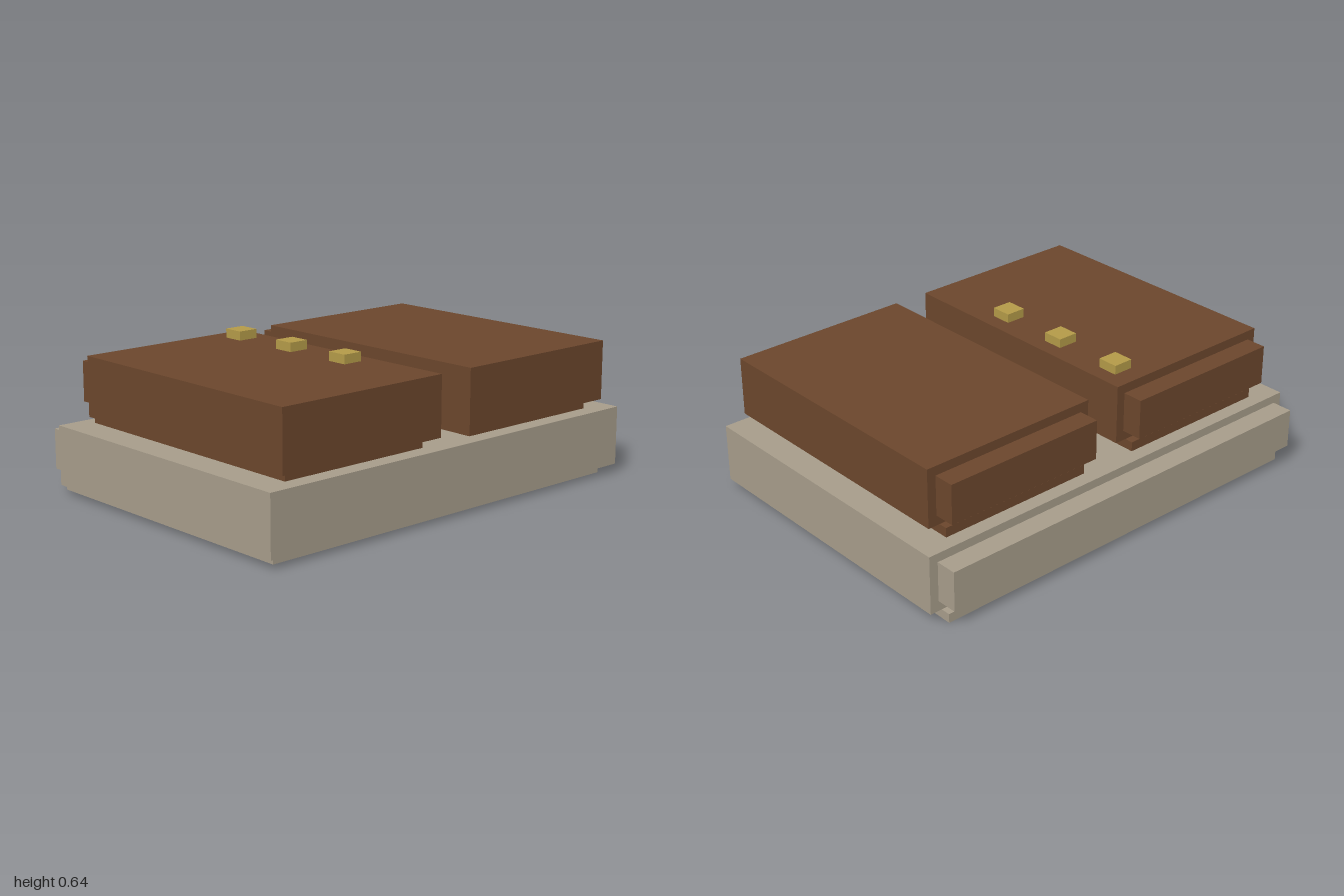
import * as THREE from 'three';

const stone = new THREE.MeshStandardMaterial({ color: 0xa69c8a });
stone.name = 'stone';
const wood = new THREE.MeshStandardMaterial({ color: 0x6b462c });
wood.name = 'brown wood';
const brass = new THREE.MeshStandardMaterial({ color: 0xb39a48 });
brass.name = 'brass';

// Box given by its extents on each axis
function block(name, material, [x0, x1], [y0, y1], [z0, z1]) {
  const mesh = new THREE.Mesh(new THREE.BoxGeometry(x1 - x0, y1 - y0, z1 - z0), material);
  mesh.name = name;
  mesh.position.set((x0 + x1) / 2, (y0 + y1) / 2, (z0 + z1) / 2);
  return mesh;
}

export function createModel() {
  const model = new THREE.Group();
  model.name = 'doubleHatch';

  // Base: recessed plinth, main slab and rear rail
  const base = new THREE.Group();
  base.name = 'base';
  base.add(
    block('plinth', stone, [-0.945, 0.945], [0, 0.04], [-0.68, 0.68]),
    block('slab', stone, [-1, 1], [0.04, 0.3], [-0.637, 0.732]),
    block('baseRearRail', stone, [-0.96, 0.96], [0.085, 0.262], [-0.732, -0.637]),
  );
  model.add(base);

  // Two matching panels, each with a recessed foot and a rear rail
  for (const [name, x] of [['rightPanel', -0.5], ['leftPanel', 0.5]]) {
    const panel = new THREE.Group();
    panel.name = name;
    panel.position.x = x;
    panel.add(
      block('panelFoot', wood, [-0.363, 0.363], [0.3, 0.342], [-0.572, 0.655]),
      block('panelBody', wood, [-0.417, 0.417], [0.342, 0.603], [-0.533, 0.706]),
      block('panelRearRail', wood, [-0.377, 0.377], [0.386, 0.562], [-0.626, -0.533]),
    );
    model.add(panel);
  }

  // Row of studs near the inner edge of the right panel
  for (let i = 0; i < 3; i++) {
    const z = 0.267 - i * 0.333;
    model.add(block('stud', brass, [-0.246, -0.154], [0.603, 0.643], [z - 0.047, z + 0.047]));
  }

  return model;
}
